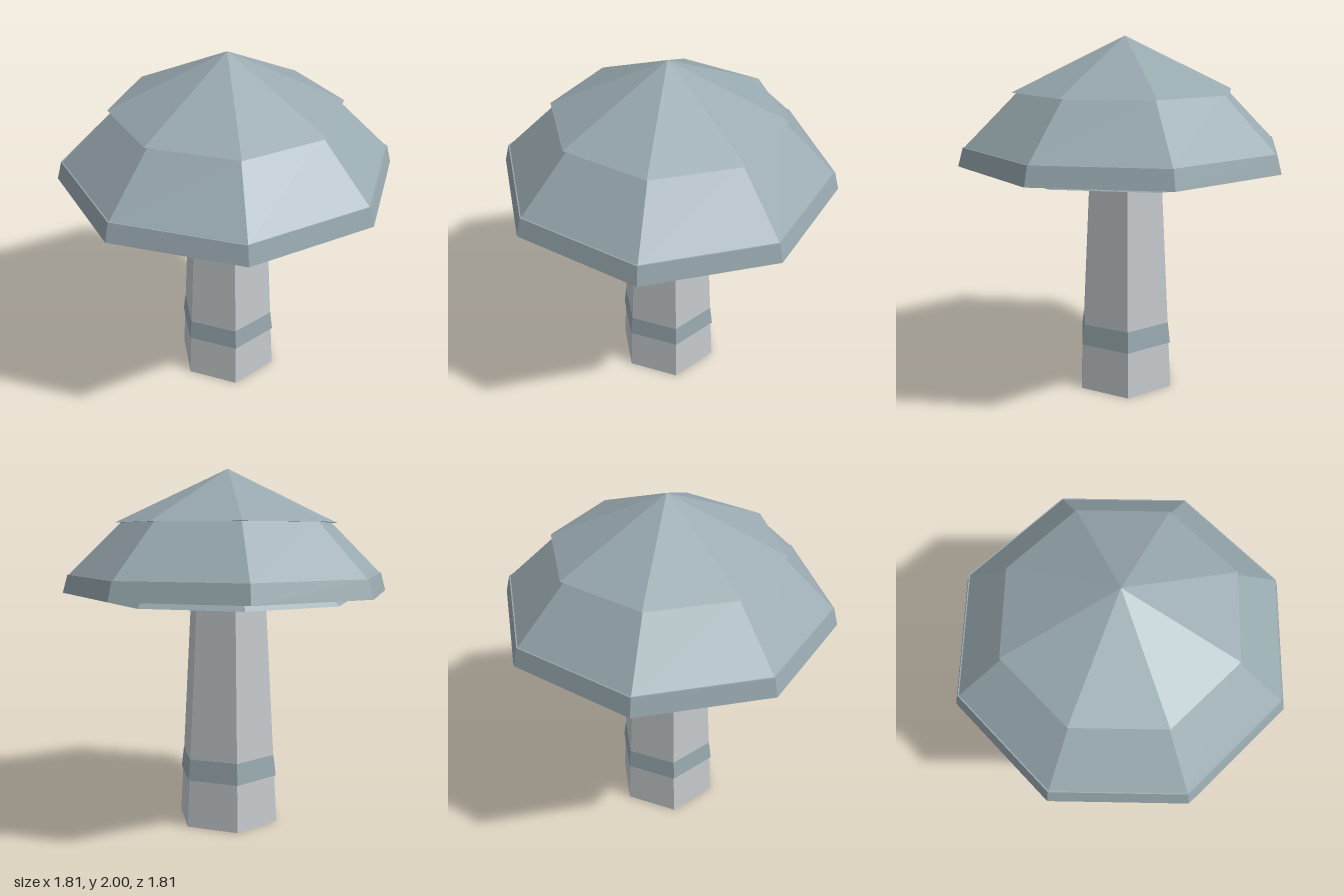
import * as THREE from 'three';

export function createModel() {
  const model = new THREE.Group();
  model.name = 'mushroom';

  const capBlue = new THREE.MeshStandardMaterial({ color: 0x98a9af, flatShading: true });
  capBlue.name = 'capBlue';
  const stemGrey = new THREE.MeshStandardMaterial({ color: 0xc6cbce, flatShading: true });
  stemGrey.name = 'stemGrey';

  // Faceted tier between two heights; start turns the corners around y
  function tier(name, parent, sides, start, y0, y1, r0, r1, material) {
    const geometry = new THREE.CylinderGeometry(r1, r0, y1 - y0, sides, 1, false, start);
    const mesh = new THREE.Mesh(geometry, material);
    mesh.name = name;
    mesh.position.y = (y0 + y1) / 2;
    parent.add(mesh);
  }

  // Cap: eight-sided stacked tiers
  const cap = new THREE.Group();
  cap.name = 'cap';
  const turn = 0.193;
  tier('capUnderside', cap, 8, turn, 1.275, 1.33, 0.725, 0.67, capBlue);
  tier('capBrim', cap, 8, turn, 1.32, 1.42, 0.92, 0.892, capBlue);
  tier('capMiddle', cap, 8, turn, 1.42, 1.71, 0.885, 0.59, capBlue);
  tier('capPeak', cap, 8, turn, 1.705, 2, 0.625, 0, capBlue);

  // Stem: tapered hexagon with a flared band; material order is side, top, bottom
  const stem = new THREE.Group();
  stem.name = 'stem';
  const hexTurn = Math.PI / 6;
  tier('stemShaft', stem, 6, hexTurn, 0, 1.3, 0.298, 0.224, [stemGrey, capBlue, capBlue]);
  tier('stemBand', stem, 6, hexTurn, 0.27, 0.39, 0.292, 0.277, capBlue);

  model.add(cap, stem);
  return model;
}
